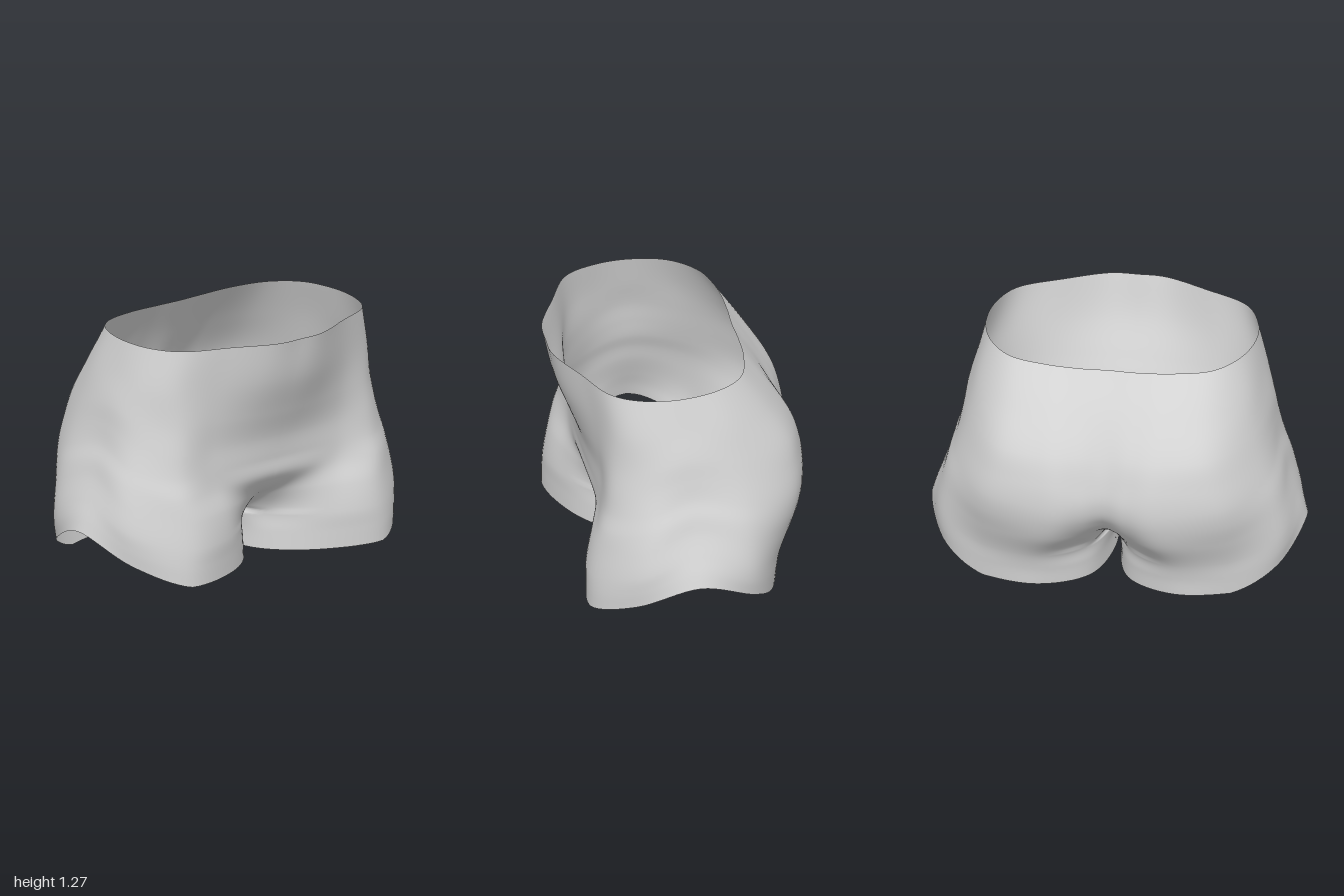
import * as THREE from 'three';
import { mergeGeometries, mergeVertices } from 'three/addons/utils/BufferGeometryUtils.js';

// Nominal height of each half cross-section, waist to hem
const LEVELS = [1.27, 1.05, 0.85, 0.7, 0.57, 0.46, 0.34, 0.2, 0.1, 0];
const CROTCH = 0.2, GUSSET = 0.34;

// x, z pairs running from the front centre towards the side
const FRONT = [
  [0, .66, .16, .65, .38, .55, .60, .44, .695, .28],
  [0, .615, .18, .595, .42, .505, .65, .415, .75, .26],
  [0, .54, .18, .525, .42, .475, .65, .425, .785, .26],
  [0, .485, .18, .477, .42, .455, .66, .44, .81, .27],
  [0, .465, .18, .463, .42, .455, .67, .457, .84, .28],
  [0, .45, .18, .452, .40, .46, .67, .49, .87, .29],
  [0, .33, .11, .37, .36, .48, .65, .522, .89, .31],
  [0, 0, .08, .27, .32, .48, .64, .548, .905, .33],
  [.02, 0, .075, .27, .32, .48, .65, .553, .90, .34],
  [.015, 0, .07, .27, .31, .475, .65, .555, .89, .345],
];
// x, z pairs running from the side to the back centre
const BACK = [
  [.72, .08, .67, -.13, .54, -.28, .34, -.335, .15, -.345, 0, -.34],
  [.765, .05, .72, -.20, .56, -.41, .33, -.485, .15, -.48, 0, -.47],
  [.81, .04, .755, -.26, .58, -.52, .32, -.60, .14, -.585, 0, -.56],
  [.83, .03, .79, -.28, .61, -.55, .31, -.645, .13, -.625, 0, -.60],
  [.85, .03, .83, -.28, .64, -.555, .31, -.66, .12, -.64, 0, -.61],
  [.88, .03, .865, -.28, .65, -.54, .31, -.65, .12, -.615, 0, -.57],
  [.905, .03, .89, -.28, .65, -.505, .32, -.61, .13, -.535, 0, -.43],
  [.945, .03, .91, -.28, .65, -.46, .34, -.525, .10, -.36, 0, 0],
  [.975, .03, .91, -.28, .65, -.445, .34, -.495, .095, -.34, .02, 0],
  [1, .03, .895, -.28, .66, -.43, .36, -.485, .10, -.34, .015, 0],
];
// Heights of the waist edge and the leg hem at each station
const WAIST = [1.27, 1.27, 1.27, 1.265, 1.26, 1.26, 1.26, 1.25, 1.245, 1.24, 1.24];
const HEM = [0, 0, 0, 0, .11, .25, .115, 0, 0, 0, 0];
const LAST = HEM.length - 1;

// Smooth curve through values at unevenly spaced knots
function spline(knots, values, segment, f) {
  const n = knots.length - 1;
  const slope = (i) => {
    const a = Math.max(0, i - 1), b = Math.min(n, i + 1);
    return (values[b] - values[a]) / (knots[b] - knots[a]);
  };
  const h = knots[segment + 1] - knots[segment], f2 = f * f, f3 = f2 * f;
  return (2 * f3 - 3 * f2 + 1) * values[segment] + (f3 - 2 * f2 + f) * h * slope(segment)
    + (3 * f2 - 2 * f3) * values[segment + 1] + (f3 - f2) * h * slope(segment + 1);
}

const AROUND = Array.from({ length: LAST + 3 }, (_, i) => i - 1);

// Curve around a section, with one extra value beyond each end
function around(values, before, after, u) {
  const segment = Math.min(LAST - 1, Math.floor(u));
  return spline(AROUND, [before, ...values, after], segment + 1, u - segment);
}

// One half: joined at the middle above the crotch, a closed leg below it
function halfGeometry(side) {
  const rowSteps = 8, columnSteps = 8, columns = LAST * columnSteps;
  const rows = (LEVELS.length - 1) * rowSteps;
  const positions = [], index = [];
  const sections = LEVELS.map((_, r) => [...FRONT[r], ...BACK[r]]);
  const gusset = sections[LEVELS.indexOf(GUSSET)];

  for (let r = 0; r <= rows; r++) {
    const level = Math.min(LEVELS.length - 2, Math.floor(r / rowSteps));
    const f = r / rowSteps - level;
    const t = THREE.MathUtils.lerp(LEVELS[level], LEVELS[level + 1], f);
    const column = (k) => spline(LEVELS, sections.map((s) => s[k]), level, f);
    const xs = HEM.map((_, i) => column(2 * i));
    const zs = HEM.map((_, i) => column(2 * i + 1));
    const leg = t < CROTCH - 1e-6;

    // Rounded saddle between the legs
    if (t < GUSSET) {
      const open = Math.sqrt(Math.max(0, t - CROTCH) / (GUSSET - CROTCH));
      zs[0] = gusset[1] * open;
      zs[LAST] = gusset[2 * LAST + 1] * open;
    }
    if (!leg) xs[0] = xs[LAST] = 0;

    for (let c = 0; c <= columns; c++) {
      const u = c / columnSteps;
      const x = leg ? around(xs, xs[LAST - 1], xs[1], u) : around(xs, -xs[1], -xs[LAST - 1], u);
      const z = leg ? around(zs, zs[LAST - 1], zs[1], u) : around(zs, zs[1], zs[LAST - 1], u);
      const hem = Math.max(0, around(HEM, 0, 0, u));
      const waist = around(WAIST, WAIST[1], WAIST[LAST - 1], u);
      positions.push(side * Math.max(0, x), hem + (waist - hem) * t / LEVELS[0], z);
    }
  }
  for (let r = 0; r < rows; r++) {
    for (let c = 0; c < columns; c++) {
      const a = r * (columns + 1) + c, b = a + 1, d = a + columns + 1, e = d + 1;
      if (side > 0) index.push(a, d, b, b, d, e);
      else index.push(a, b, d, b, e, d);
    }
  }
  const geometry = new THREE.BufferGeometry();
  geometry.setAttribute('position', new THREE.Float32BufferAttribute(positions, 3));
  geometry.setIndex(index);
  return geometry;
}

export function createModel() {
  const group = new THREE.Group();
  group.name = 'shorts';
  const cloth = new THREE.MeshStandardMaterial({ color: 0xd6d6d6, side: THREE.DoubleSide });
  cloth.name = 'light grey';

  // Both halves welded along the middle for a continuous smooth shell
  const shell = mergeVertices(mergeGeometries([halfGeometry(1), halfGeometry(-1)]), 1e-4);
  shell.computeVertexNormals();
  const body = new THREE.Mesh(shell, cloth);
  body.name = 'shortsShell';
  group.add(body);
  return group;
}
